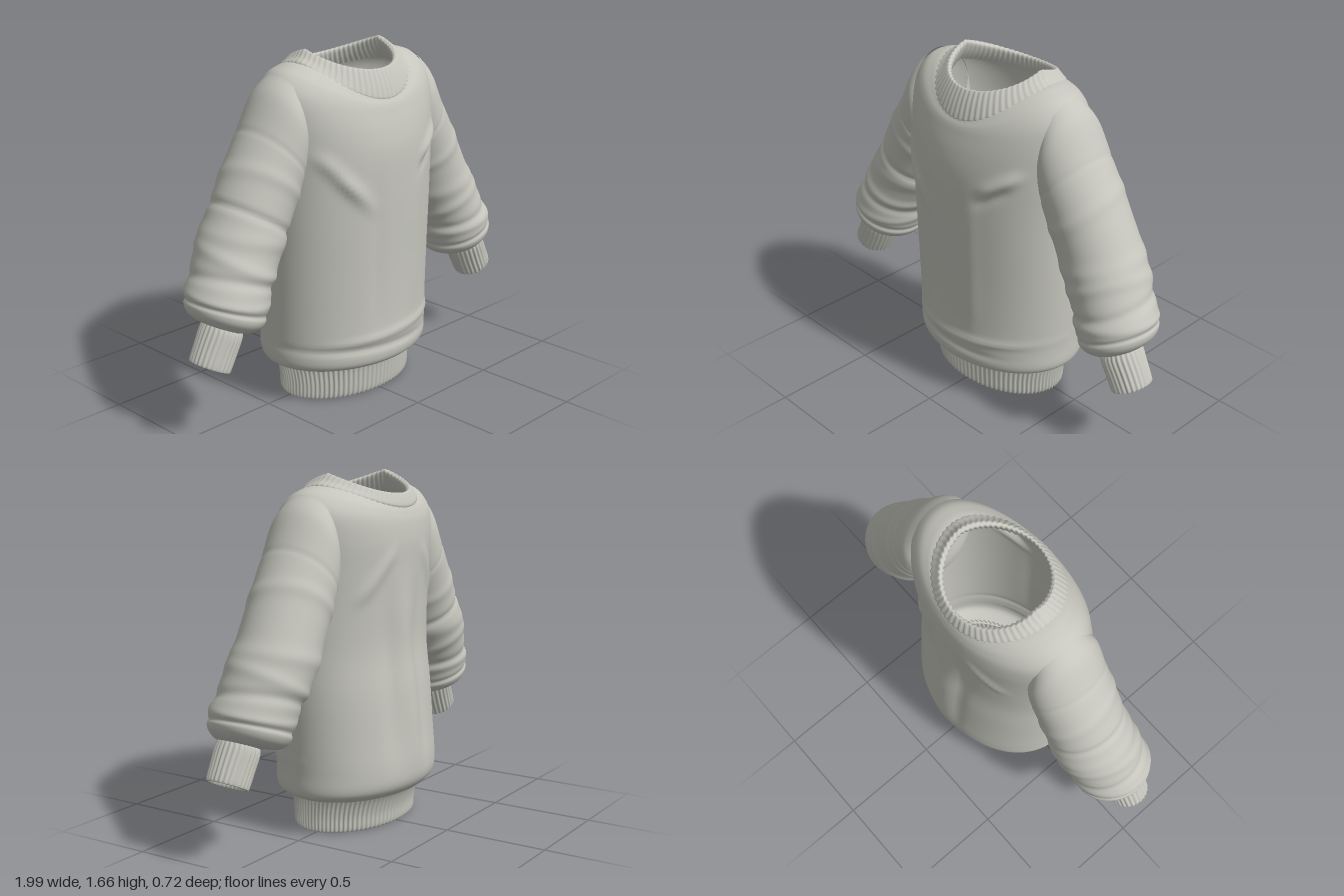
import * as THREE from 'three';

const knit = new THREE.MeshStandardMaterial({ color: 0xc6c6be, side: THREE.DoubleSide });
knit.name = 'grey knit';

// Surface from f(u, a): u runs 0..1 along the part, a runs once around it
function tube(name, f, nu, na) {
  const pos = [], idx = [];
  for (let i = 0; i <= nu; i++)
    for (let j = 0; j < na; j++) pos.push(...f(i / nu, (j / na) * Math.PI * 2));
  for (let i = 0; i < nu; i++)
    for (let j = 0; j < na; j++) {
      const k = (j + 1) % na;
      const a = i * na + j, b = a + na, c = i * na + k, d = c + na;
      idx.push(a, b, c, c, b, d);
    }
  const g = new THREE.BufferGeometry();
  g.setAttribute('position', new THREE.Float32BufferAttribute(pos, 3));
  g.setIndex(idx);
  g.computeVertexNormals();
  const mesh = new THREE.Mesh(g, knit);
  mesh.name = name;
  return mesh;
}

// Smooth blend through the rows of a cross-section table
function sample(rows, u) {
  const t = u * (rows.length - 1);
  const i = Math.min(Math.floor(t), rows.length - 2), f = t - i;
  const p = rows[Math.max(i - 1, 0)], q = rows[i], r = rows[i + 1], s = rows[Math.min(i + 2, rows.length - 1)];
  return q.map((b, k) => {
    const m0 = (r[k] - p[k]) / 2, m1 = (s[k] - b) / 2, d = r[k] - b;
    return b + f * (m0 + f * (3 * d - 2 * m0 - m1 + f * (m0 + m1 - 2 * d)));
  });
}

// Ring around the trunk: row = [ySide, yFront, yBack, halfWidth, zFront, zBack]
function trunkPoint([ys, yf, yb, w, zf, zb], a, power = 2, grow = 0) {
  const s = Math.sin(a), c = Math.cos(a);
  const y = ys + ((s > 0 ? yf : yb) - ys) * Math.abs(s) ** power;
  return [(w + grow) * c, y, (zf + zb) / 2 + ((zf - zb) / 2 + grow) * s];
}

// Ring around an arm: row = [xOuter, yOuter, xInner, yInner, zFront, zBack]
function armPoint([xo, yo, xi, yi, zf, zb], a, side, grow = 1) {
  const c = (Math.cos(a) * grow) / 2, s = (Math.sin(a) * grow) / 2;
  return [
    side * ((xo + xi) / 2 + (xo - xi) * c),
    (yo + yi) / 2 + (yo - yi) * c,
    (zf + zb) / 2 - side * (zf - zb) * s,
  ];
}

const TORSO = [
  [0.155, 0.155, 0.155, 0.37, 0.265, -0.26],
  [0.165, 0.165, 0.17, 0.41, 0.31, -0.30],
  [0.20, 0.20, 0.22, 0.448, 0.352, -0.338],
  [0.30, 0.30, 0.30, 0.45, 0.358, -0.345],
  [0.45, 0.45, 0.45, 0.452, 0.355, -0.33],
  [0.65, 0.65, 0.65, 0.455, 0.355, -0.31],
  [0.85, 0.85, 0.85, 0.455, 0.358, -0.285],
  [1.05, 1.04, 1.05, 0.46, 0.36, -0.285],
  [1.22, 1.20, 1.22, 0.47, 0.357, -0.29],
  [1.38, 1.30, 1.34, 0.48, 0.342, -0.293],
  [1.50, 1.38, 1.43, 0.47, 0.32, -0.285],
  [1.57, 1.415, 1.475, 0.415, 0.308, -0.273],
  [1.598, 1.435, 1.50, 0.345, 0.296, -0.262],
  [1.605, 1.45, 1.51, 0.295, 0.288, -0.256],
];

// Soft folds: x, y, tilt, half length, half width, height, face (1 front, -1 back)
const FOLDS = [
  [-0.29, 1.12, -0.85, 0.14, 0.03, 0.016, 1],
  [-0.22, 1.03, -0.8, 0.12, 0.025, 0.010, 1],
  [0.27, 1.20, 0.6, 0.10, 0.03, 0.018, 1],
  [0.24, 1.13, 0.6, 0.09, 0.025, -0.008, 1],
  [-0.12, 0.75, 1.57, 0.35, 0.035, -0.006, 1],
  [0.14, 0.75, 1.57, 0.35, 0.04, 0.006, 1],
  [0.05, 0.33, 0.05, 0.34, 0.018, 0.010, 1],
  [-0.1, 0.27, -0.03, 0.34, 0.016, -0.010, 1],
  [0.04, 0.72, 1.55, 0.42, 0.06, 0.018, -1],
  [-0.07, 0.72, 1.57, 0.38, 0.03, -0.012, -1],
  [0.16, 0.72, 1.6, 0.35, 0.04, -0.010, -1],
  [-0.2, 1.2, 0.9, 0.14, 0.03, 0.012, -1],
  [0.22, 1.2, -0.9, 0.14, 0.03, 0.012, -1],
];

function foldHeight(x, y, z) {
  let h = 0;
  for (const [fx, fy, tilt, len, wid, amp, face] of FOLDS) {
    if (z * face <= 0) continue;
    const dx = x - fx, dy = y - fy, c = Math.cos(tilt), s = Math.sin(tilt);
    h += amp * Math.exp(-(((dx * c + dy * s) / len) ** 4) - ((dy * c - dx * s) / wid) ** 2);
  }
  return h;
}

const COLLAR = [
  [1.60, 1.44, 1.50, 0.308, 0.294, -0.264],
  [1.612, 1.447, 1.512, 0.303, 0.298, -0.266],
  [1.628, 1.51, 1.54, 0.275, 0.276, -0.255],
  [1.655, 1.562, 1.562, 0.25, 0.25, -0.243],
  [1.658, 1.57, 1.566, 0.24, 0.24, -0.235],
  [1.645, 1.56, 1.555, 0.23, 0.232, -0.225],
  [1.60, 1.51, 1.52, 0.245, 0.245, -0.23],
  [1.56, 1.45, 1.49, 0.27, 0.265, -0.24],
];

const HEM = [
  [0.15, 0.15, 0.15, 0.355, 0.245, -0.24],
  [0.01, 0.01, 0.01, 0.345, 0.24, -0.21],
  [0.0, 0.0, 0.0, 0.358, 0.25, -0.22],
  [0.012, 0.012, 0.012, 0.366, 0.26, -0.23],
  [0.07, 0.07, 0.07, 0.368, 0.264, -0.233],
  [0.13, 0.13, 0.13, 0.375, 0.268, -0.25],
  [0.17, 0.17, 0.17, 0.385, 0.275, -0.272],
];

const SLEEVE = [
  [0.43, 1.57, 0.35, 1.28, 0.16, -0.14],
  [0.50, 1.50, 0.34, 1.18, 0.195, -0.175],
  [0.58, 1.36, 0.35, 1.09, 0.20, -0.185],
  [0.66, 1.23, 0.38, 1.01, 0.20, -0.185],
  [0.74, 1.09, 0.425, 0.91, 0.20, -0.185],
  [0.82, 0.94, 0.485, 0.78, 0.205, -0.185],
  [0.89, 0.81, 0.545, 0.68, 0.22, -0.17],
  [0.95, 0.69, 0.59, 0.58, 0.235, -0.15],
  [0.965, 0.62, 0.62, 0.50, 0.235, -0.14],
  [0.94, 0.57, 0.67, 0.47, 0.205, -0.10],
  [0.895, 0.54, 0.76, 0.485, 0.17, -0.02],
];

// Sleeve wrinkles: place along the arm, slant, width, height
const WRINKLES = [
  [2.1, 0, 0.09, -0.018], [3.3, 0.25, 0.22, 0.03], [4.9, -0.2, 0.25, 0.035],
  [5.7, 0.25, 0.22, 0.04], [6.4, -0.15, 0.18, -0.045], [7.0, 0.2, 0.22, 0.03], [7.55, -0.1, 0.15, -0.04],
];
const STEP = [4.35, 0.1, 0.1, -0.05]; // deep crease on the right arm only

const CUFF = [
  [0.905, 0.56, 0.755, 0.49, 0.165, -0.015],
  [0.925, 0.53, 0.755, 0.46, 0.177, -0.027],
  [0.96, 0.465, 0.79, 0.385, 0.174, -0.022],
  [0.992, 0.40, 0.825, 0.32, 0.172, -0.018],
  [0.99, 0.39, 0.832, 0.312, 0.167, -0.013],
  [0.975, 0.398, 0.842, 0.33, 0.155, 0.0],
  [0.90, 0.53, 0.775, 0.47, 0.155, 0.0],
];

export function createModel() {
  const model = new THREE.Group();
  model.name = 'sweater';

  model.add(tube('torso', (u, a) => {
    const row = sample(TORSO, u);
    const [x, y, z] = trunkPoint(row, a);
    return trunkPoint(row, a, 2, foldHeight(x, y, z));
  }, 110, 128));

  model.add(tube('collar', (u, a) =>
    trunkPoint(sample(COLLAR, u), a, 2 - Math.min(1, u * 1.8), 0.003 * Math.cos(a * 64)), 21, 256));

  model.add(tube('hemBand', (u, a) =>
    trunkPoint(sample(HEM, u), a, 2, 0.005 * Math.cos(a * 84)), 18, 336));

  for (const side of [1, -1]) {
    const label = side > 0 ? 'left' : 'right';
    const creases = side > 0 ? WRINKLES : [...WRINKLES, STEP];
    model.add(tube(label + 'Sleeve', (u, a) => {
      let grow = 1;
      for (const [at, slant, wid, amp] of creases)
        grow += amp * Math.exp(-(((u * 10 - at - slant * Math.sin(a + at)) / wid) ** 2));
      return armPoint(sample(SLEEVE, u), a, side, grow);
    }, 120, 56));
    model.add(tube(label + 'Cuff', (u, a) =>
      armPoint(sample(CUFF, u), a, side, 1 + 0.03 * Math.cos(a * 26)), 18, 130));
  }
  return model;
}
